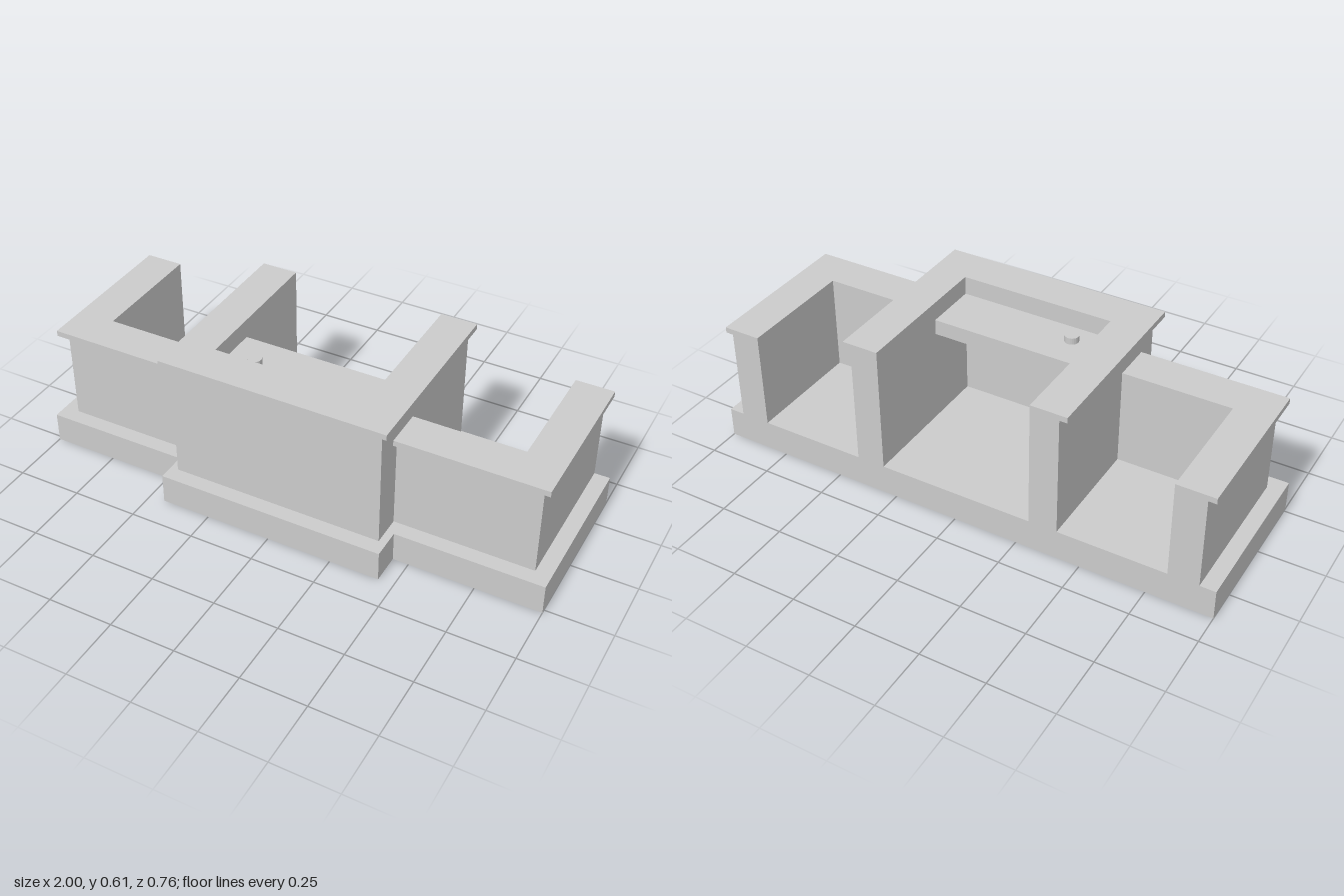
import * as THREE from 'three';

const material = new THREE.MeshStandardMaterial({ color: 0xcccccc, flatShading: true });
const BACK = -0.38;

// Extrudes a plan outline of [x, z] points from height y0 to y1.
function slab(name, points, y0, y1) {
  const shape = new THREE.Shape(points.map(([x, z]) => new THREE.Vector2(x, -z)));
  const geometry = new THREE.ExtrudeGeometry(shape, { depth: y1 - y0, bevelEnabled: false });
  geometry.rotateX(-Math.PI / 2);
  geometry.translate(0, y0, 0);
  const mesh = new THREE.Mesh(geometry, material);
  mesh.name = name;
  return mesh;
}

// U-shaped plan, open at the back.
const uPlan = (outX, outZ, inX, inZ) => [
  [-outX, BACK], [-outX, outZ], [outX, outZ], [outX, BACK],
  [inX, BACK], [inX, inZ], [-inX, inZ], [-inX, BACK],
];

// L-shaped plan running from the centre bench round to the back.
const lPlan = (s, outX, outZ) => [
  [0.41, outZ], [outX, outZ], [outX, BACK],
  [0.825, BACK], [0.825, 0.083], [0.41, 0.083],
].map(([x, z]) => [s * x, z]);

export function createModel() {
  const group = new THREE.Group();
  group.name = 'courtroomBench';

  // Stepped plinth, projecting in the middle
  group.add(slab('plinth', [
    [-1, BACK], [-1, 0.265], [-0.44, 0.265], [-0.44, 0.382],
    [0.44, 0.382], [0.44, 0.265], [1, 0.265], [1, BACK],
  ], 0, 0.118));

  // Tall centre bench
  group.add(slab('centreWall', uPlan(0.41, 0.323, 0.3, 0.2), 0.118, 0.59));
  group.add(slab('centreCap', uPlan(0.44, 0.353, 0.3, 0.2), 0.59, 0.612));

  // Lower wings on both sides
  for (const [side, s] of [['left', 1], ['right', -1]]) {
    group.add(slab(side + 'WingWall', lPlan(s, 0.94, 0.206), 0.118, 0.476));
    group.add(slab(side + 'WingCap', lPlan(s, 0.97, 0.235), 0.476, 0.498));
  }

  // Desk shelf inside the centre bench
  group.add(slab('deskShelf', [[-0.3, -0.01], [-0.3, 0.2], [0.3, 0.2], [0.3, -0.01]], 0.48, 0.54));

  // Small round block on the desk
  const block = new THREE.Mesh(new THREE.CylinderGeometry(0.027, 0.027, 0.025, 24), material);
  block.name = 'soundBlock';
  block.position.set(-0.19, 0.5525, 0.12);
  group.add(block);

  return group;
}
